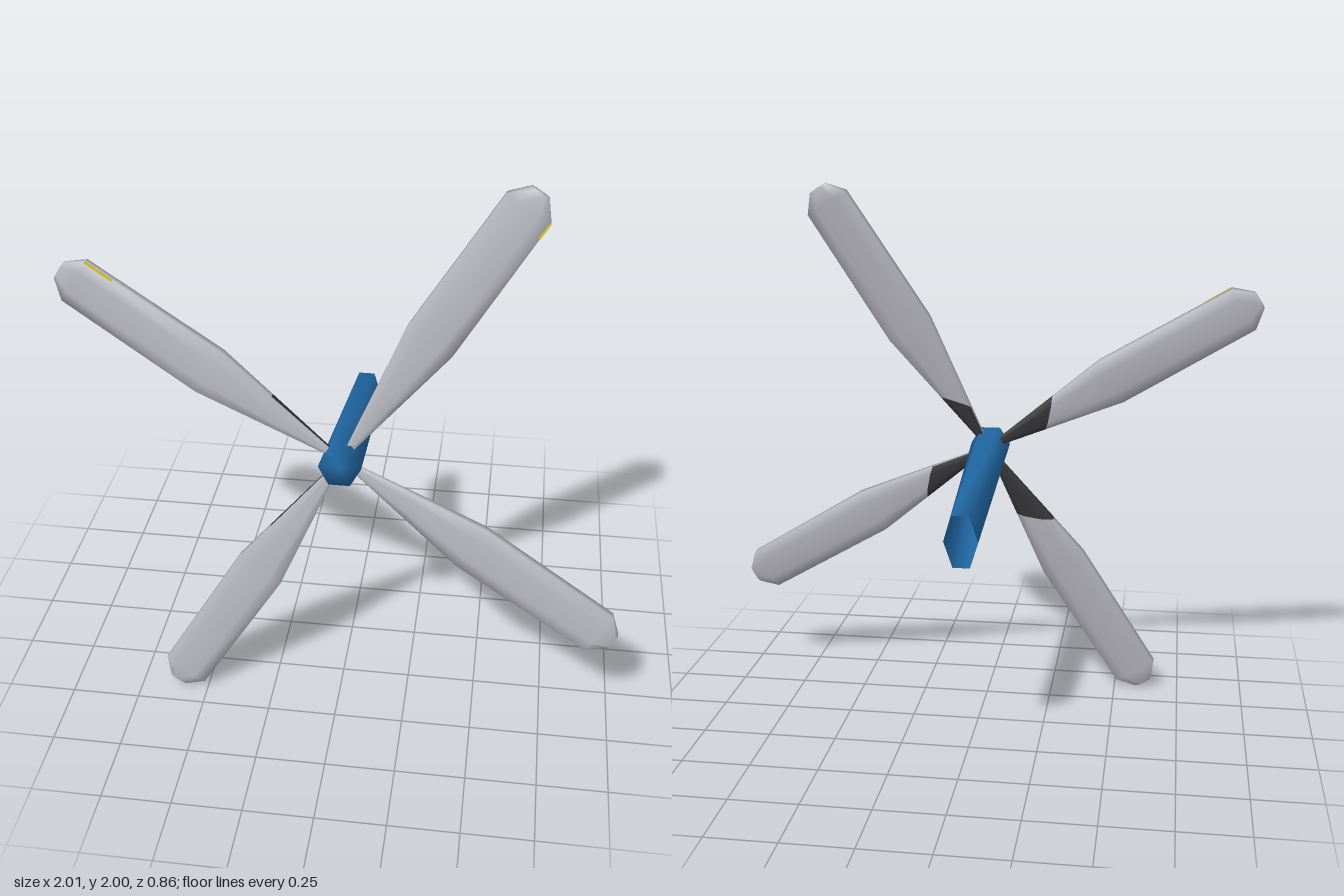
import * as THREE from 'three';

const paint = (name, color, side = THREE.FrontSide) => {
  const m = new THREE.MeshStandardMaterial({ color, side });
  m.name = name;
  return m;
};

// Skin a list of rings (equal point counts); isDark(ring, sector) picks material 1.
function loft(rings, isDark = () => false) {
  const n = rings[0].length;
  const sets = [[], []];
  for (let i = 0; i < rings.length - 1; i++) {
    for (let j = 0; j < n; j++) {
      const k = (j + 1) % n;
      const a = i * n + j, b = i * n + k, c = a + n, d = b + n;
      sets[isDark(i, j) ? 1 : 0].push(a, c, b, b, c, d);
    }
  }
  const g = new THREE.BufferGeometry().setFromPoints(rings.flat());
  g.setIndex([...sets[0], ...sets[1]]);
  g.addGroup(0, sets[0].length, 0);
  g.addGroup(sets[0].length, sets[1].length, 1);
  g.computeVertexNormals();
  return g;
}

// Blunt-edged blade section: x along the chord, z through the thickness
const SECTION = [
  [1, 0.6], [0.5, 1], [-0.5, 1], [-1, 0.6],
  [-1, -0.6], [-0.5, -1], [0.5, -1], [1, -0.6],
];

// Blade runs along +y; reach is where the dark root patch ends
function bladeGeometry(reach) {
  const section = (y, w, t) =>
    SECTION.map(([x, z]) => new THREE.Vector3(w * x, y, t * z));
  // slanted end of the patch, lying on the straight root taper
  const slanted = SECTION.map(([x, z]) => {
    const y = reach + 0.045 * x;
    const f = (y - 0.03) / 0.52;
    return new THREE.Vector3((0.01 + 0.08 * f) * x, y, (0.009 + 0.018 * f) * z);
  });
  const rings = [
    section(0.03, 0.01, 0.009),
    slanted,
    section(0.55, 0.09, 0.027),
    section(1.1, 0.085, 0.027),
    section(1.162, 0.033, 0.016),
    section(1.164, 0, 0),
  ];
  return loft(rings, (i, j) => i === 0 && j >= 4);
}

// Six-sided tapering body, closed in front and open at the back
function bodyGeometry() {
  const section = (w, h, yc, zc, lean) => Array.from({ length: 6 }, (_, j) => {
    const a = (j * Math.PI) / 3;
    const y = (h * Math.sin(a)) / Math.sin(Math.PI / 3);
    return new THREE.Vector3(w * Math.cos(a), yc + y, zc - lean * y);
  });
  return loft([
    section(0, 0, 1.005, 0.34, 0),
    section(0.075, 0.065, 1.005, 0.34, 0.15),
    section(0.06, 0.095, 0.845, -0.42, 0.1),
  ]);
}

export function createModel() {
  const grey = paint('bladeGrey', 0xb4b4bc);
  const dark = paint('rootBlack', 0x363638);
  const blue = paint('bodyBlue', 0x2068a4, THREE.DoubleSide);
  const yellow = paint('tipYellow', 0xd2c400);

  const model = new THREE.Group();
  model.name = 'propeller';

  const body = new THREE.Mesh(bodyGeometry(), [blue, blue]);
  body.name = 'body';
  model.add(body);

  // Tilted rotor with four blades: up, left-hand, down, right-hand
  const rotor = new THREE.Group();
  rotor.name = 'rotor';
  rotor.position.set(0, 1.003, 0.282);
  rotor.rotation.set(-0.143, -0.041, 0);
  model.add(rotor);

  [0.22, 0.28, 0.33, 0.28].forEach((reach, k) => {
    const arm = new THREE.Group();
    arm.name = 'bladeArm';
    arm.rotation.z = -0.558 + (k * Math.PI) / 2;
    const blade = new THREE.Mesh(bladeGeometry(reach), [grey, dark]);
    blade.name = 'blade';
    arm.add(blade);
    // thin yellow mark along the front of the leading edge, upper blades only
    if (k < 2) {
      const length = k === 0 ? 0.06 : 0.11;
      const mark = new THREE.Mesh(new THREE.BoxGeometry(0.007, length, 0.004), yellow);
      mark.name = 'tipMark';
      mark.position.set(0.0835, 1.1 - length / 2, 0.0165);
      arm.add(mark);
    }
    rotor.add(arm);
  });
  return model;
}
